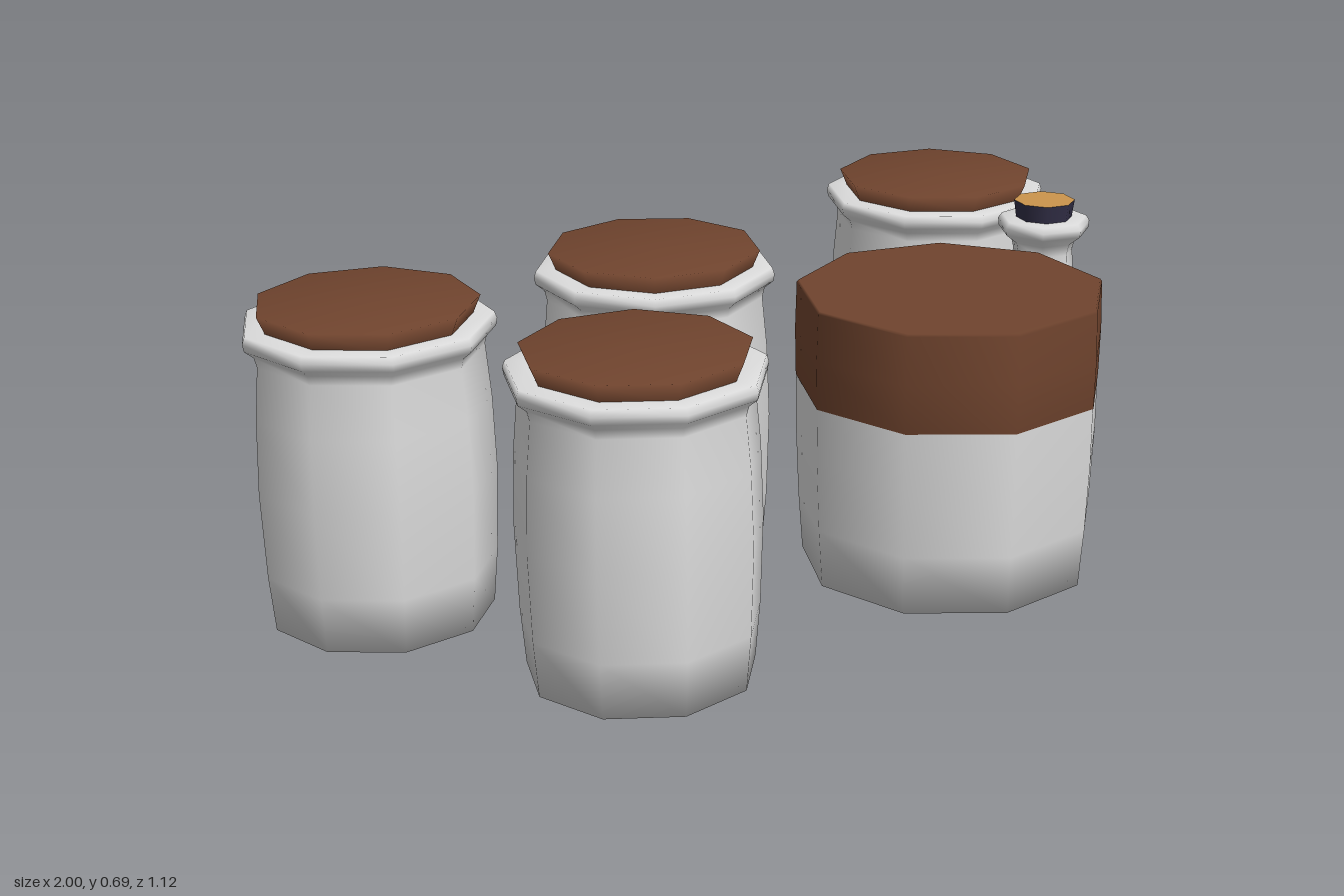
import * as THREE from 'three';

const mat = (name, color) => {
  const m = new THREE.MeshStandardMaterial({ color });
  m.name = name;
  return m;
};

export function createModel() {
  const root = new THREE.Group();
  root.name = 'jarSet';
  const ceramic = mat('paleCeramic', 0xdcdcdc);
  const brown = mat('brownLid', 0x70442e);
  const tan = mat('tanCork', 0xcb954c);
  const navy = mat('navyWrap', 0x322f47);

  const add = (parent, name, geometry, material) => {
    const mesh = new THREE.Mesh(geometry, material);
    mesh.name = name;
    parent.add(mesh);
    return mesh;
  };
  // Revolved part from [radius, height] pairs, listed bottom to top
  const turn = (parent, name, profile, sides, material) =>
    add(parent, name, new THREE.LatheGeometry(profile.map(([r, y]) => new THREE.Vector2(r, y)), sides), material);
  const place = (name, x, z, turnY) => {
    const g = new THREE.Group();
    g.name = name;
    g.position.set(x, 0, z);
    g.rotation.y = turnY;
    root.add(g);
    return g;
  };

  // Four lidded jars: centre x, centre z, rotation
  const jars = [
    [-0.752, -0.308, Math.PI - 0.02],
    [-0.103, -0.228, 0.04],
    [0.752, -0.268, Math.PI],
    [-0.522, 0.252, Math.PI + 0.06],
  ];
  for (const [x, z, r] of jars) {
    const jar = place('jar', x, z, r);
    turn(jar, 'jarBody', [
      [0, 0.005], [0.226, 0.005], [0.236, 0.12], [0.242, 0.3], [0.237, 0.45], [0.227, 0.56],
      [0.232, 0.58], [0.25, 0.595], [0.253, 0.61], [0.248, 0.624], [0.2, 0.624],
    ], 9, ceramic);
    turn(jar, 'jarLid', [[0.203, 0.615], [0.222, 0.66], [0, 0.66]], 9, brown);
  }

  // Wide jar with a deep lid
  const wide = place('wideJar', 0.295, 0.25, Math.PI);
  turn(wide, 'wideJarBody', [[0, 0.005], [0.306, 0.005], [0.315, 0.13], [0.321, 0.28], [0.321, 0.398]], 9, ceramic);
  turn(wide, 'wideJarLid', [
    [0.31, 0.396], [0.322, 0.398], [0.324, 0.5], [0.321, 0.6], [0.317, 0.605], [0, 0.605],
  ], 9, brown);

  // Slim bottle
  const bottle = place('bottle', 0.705, 0.117, 0.08);
  turn(bottle, 'bottleBody', [
    [0, 0], [0.094, 0], [0.098, 0.15], [0.106, 0.47], [0.102, 0.487], [0.08, 0.5], [0.07, 0.52], [0.066, 0.575],
    [0.072, 0.6], [0.1, 0.622], [0.102, 0.638], [0.094, 0.65], [0.05, 0.65],
  ], 7, ceramic);
  turn(bottle, 'corkSide', [[0.059, 0.64], [0.066, 0.688]], 8, navy);
  turn(bottle, 'corkTop', [[0.066, 0.688], [0, 0.688]], 8, tan);

  // Cord around the shoulder: a tan arc and a navy arc
  const cord = (name, start, length, material) => {
    const geo = new THREE.TorusGeometry(0.087, 0.007, 6, 20, length);
    geo.rotateX(Math.PI / 2).rotateY(-start);
    geo.translate(0, 0.504, 0);
    add(bottle, name, geo, material);
  };
  cord('navyCord', Math.PI * 0.45, Math.PI * 0.6, navy);
  cord('tanCord', Math.PI * 1.05, Math.PI * 1.4, tan);

  // Looped tie and hanging tag behind the bottle
  const tie = new THREE.CatmullRomCurve3([
    new THREE.Vector3(0.68, 0.505, 0.035), new THREE.Vector3(0.67, 0.522, 0.018),
    new THREE.Vector3(0.655, 0.512, 0.0), new THREE.Vector3(0.645, 0.48, -0.004),
  ]);
  add(root, 'tagTie', new THREE.TubeGeometry(tie, 10, 0.006, 6), tan);

  const tagShape = new THREE.Shape();
  [[-0.02, 0.14], [0.02, 0.14], [0.042, 0.09], [0.042, -0.14], [-0.042, -0.14], [-0.042, 0.09]]
    .forEach(([x, y], i) => (i ? tagShape.lineTo(x, y) : tagShape.moveTo(x, y)));
  const tag = add(root, 'tag',
    new THREE.ExtrudeGeometry(tagShape, { depth: 0.008, bevelEnabled: false }), brown);
  tag.position.set(0.643, 0.362, -0.012);
  tag.rotation.set(0.06, -0.25, 0);

  return root;
}
